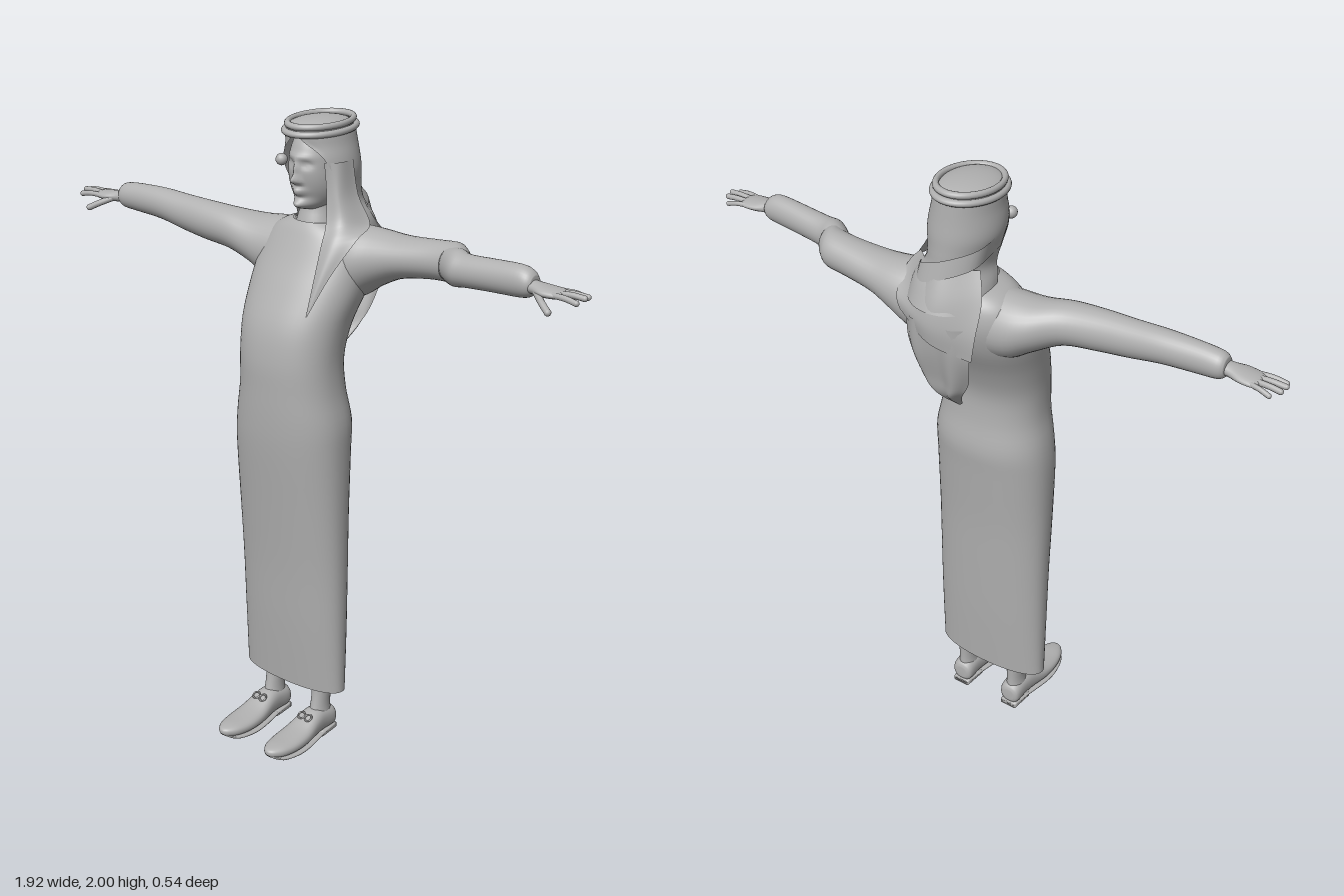
import * as THREE from 'three';

const cloth = new THREE.MeshStandardMaterial({ color: 0xb0b0b0, side: THREE.DoubleSide });
cloth.name = 'plain grey';

function add(group, name, geometry) {
  const mesh = new THREE.Mesh(geometry, cloth);
  mesh.name = name;
  group.add(mesh);
  return mesh;
}

// Smooth interpolation through rows of numbers
function refine(rows, steps) {
  const out = [], last = rows.length - 1;
  for (let i = 0; i < last; i++) {
    const [p, q, r, s] = [rows[Math.max(i - 1, 0)], rows[i], rows[i + 1], rows[Math.min(i + 2, last)]];
    for (let k = 0; k < steps; k++) {
      const t = k / steps;
      out.push(q.map((v, c) => v + 0.5 * t * (r[c] - p[c] + t * (2 * p[c] - 5 * v + 4 * r[c] - s[c]
        + t * (3 * (v - r[c]) + s[c] - p[c])))));
    }
  }
  out.push(rows[last]);
  return out;
}

function buildGeometry(positions, index) {
  const g = new THREE.BufferGeometry();
  g.setAttribute('position', new THREE.Float32BufferAttribute(positions, 3));
  g.setIndex(index);
  g.computeVertexNormals();
  return g;
}

// Loft of rounded sections [t, aMin, aMax, bMin, bMax] along one axis:
// 'y' uses a = x, b = z; 'x' uses a = z, b = y; 'z' uses a = x, b = y
function loft(axis, sections, { sides = 32, steps = 4, power = 1, caps = true } = {}) {
  const rings = refine(sections, steps), pos = [], idx = [];
  const place = { x: (t, a, b) => [t, b, a], y: (t, a, b) => [a, t, b], z: (t, a, b) => [a, b, t] }[axis];
  const flip = (axis !== 'z') !== (rings[rings.length - 1][0] < rings[0][0]);
  const tri = (a, b, c) => (flip ? idx.push(a, c, b) : idx.push(a, b, c));
  const soft = v => Math.sign(v) * Math.abs(v) ** power;
  rings.forEach(([t, a0, a1, b0, b1], i) => {
    for (let j = 0; j < sides; j++) {
      const w = j / sides * Math.PI * 2;
      pos.push(...place(t, (a0 + a1) / 2 + (a1 - a0) / 2 * soft(Math.cos(w)),
        (b0 + b1) / 2 + (b1 - b0) / 2 * soft(Math.sin(w))));
      if (!i) continue;
      const k = (j + 1) % sides, lo = (i - 1) * sides, hi = i * sides;
      tri(lo + j, lo + k, hi + k);
      tri(lo + j, hi + k, hi + j);
    }
  });
  if (caps) [0, rings.length - 1].forEach(i => {
    const [t, a0, a1, b0, b1] = rings[i], c = pos.length / 3;
    pos.push(...place(t, (a0 + a1) / 2, (b0 + b1) / 2));
    for (let j = 0; j < sides; j++) {
      const p = i * sides + j, q = i * sides + (j + 1) % sides;
      i ? tri(c, p, q) : tri(c, q, p);
    }
  });
  return buildGeometry(pos, idx);
}

// Draped sheet through rows of points
function sheet(rows, across = 24, steps = 5) {
  const flat = rows.map(row => new THREE.CatmullRomCurve3(row.map(p => new THREE.Vector3(...p)))
    .getPoints(across).flatMap(p => p.toArray()));
  const grid = refine(flat, steps), idx = [], n = across + 1;
  for (let i = 0; i < grid.length - 1; i++) for (let j = 0; j < across; j++) {
    const a = i * n + j;
    idx.push(a, a + n, a + 1, a + 1, a + n, a + n + 1);
  }
  return buildGeometry(grid.flat(), idx);
}

// Head: an ellipsoid with soft bumps for the features
function headGeometry() {
  const g = new THREE.SphereGeometry(1, 80, 64), p = g.attributes.position;
  // dx, dy, height, spread x, spread y
  const bumps = [[0, -0.03, 0.03, 0.011, 0.013], [0, 0, 0.013, 0.008, 0.024], [0, -0.066, 0.018, 0.022, 0.012],
    [0, -0.059, 0.005, 0.018, 0.004], [0, -0.073, 0.006, 0.015, 0.004], [0, -0.108, 0.044, 0.032, 0.02],
    [0, 0.036, 0.006, 0.045, 0.009]];
  for (const s of [-1, 1]) bumps.push([s * 0.03, 0.014, -0.011, 0.015, 0.01], [s * 0.03, 0.012, 0.006, 0.009, 0.005],
    [s * 0.013, -0.035, 0.009, 0.006, 0.006]);
  for (let i = 0; i < p.count; i++) {
    const y = p.getY(i) * 0.135, front = THREE.MathUtils.smoothstep(p.getZ(i), 0, 0.5);
    const x = p.getX(i) * 0.078 * (1 + Math.max(0, -y) * 1.2);
    let z = p.getZ(i) * 0.1;
    for (const [dx, dy, h, sx, sy] of bumps)
      z += front * h * Math.exp(-(((x - dx) / sx) ** 2) - ((y - dy) / sy) ** 2);
    p.setXYZ(i, x, y, z);
  }
  g.computeVertexNormals();
  return g;
}

function hand(side) {
  const g = new THREE.Group();
  g.name = side > 0 ? 'leftHand' : 'rightHand';
  add(g, 'palm', loft('x', [[0.74, -0.065, -0.02, 1.625, 1.665], [0.79, -0.066, -0.014, 1.622, 1.66],
    [0.83, -0.078, 0, 1.622, 1.654], [0.87, -0.08, -0.004, 1.624, 1.65], [0.885, -0.07, -0.014, 1.63, 1.645]]
    .map(([t, ...r]) => [t * side, ...r]), { sides: 20 }));
  // Fingers then thumb: knuckle, middle, tip, thickness
  [[[0.86, 1.638, -0.07], [0.895, 1.637, -0.077], [0.925, 1.63, -0.082], 0.0075],
    [[0.865, 1.639, -0.053], [0.91, 1.641, -0.056], [0.946, 1.638, -0.058], 0.0085],
    [[0.865, 1.639, -0.033], [0.91, 1.643, -0.034], [0.95, 1.641, -0.034], 0.0085],
    [[0.86, 1.638, -0.014], [0.905, 1.638, -0.01], [0.94, 1.632, -0.008], 0.0085],
    [[0.81, 1.635, -0.018], [0.845, 1.618, 0.008], [0.875, 1.602, 0.025], 0.01]].forEach((f, k) => {
    const pts = f.slice(0, 3).map(([x, y, z]) => new THREE.Vector3(x * side, y, z));
    const name = k < 4 ? 'finger' : 'thumb';
    add(g, name, new THREE.TubeGeometry(new THREE.CatmullRomCurve3(pts), 10, f[3], 10));
    add(g, name + 'Tip', new THREE.SphereGeometry(f[3], 10, 8)).position.copy(pts[2]);
  });
  return g;
}

function foot(side) {
  const g = new THREE.Group();
  g.name = side > 0 ? 'leftFoot' : 'rightFoot';
  g.position.x = side > 0 ? 0.095 : -0.1;
  const k = 0.05;
  add(g, 'shoe', loft('z', [[-0.042, -0.02, 0.02, 0.03, 0.07], [-0.03, -0.036, 0.036, 0.014, 0.09],
    [0.02, -0.038, 0.038, 0.014, 0.1], [0.06, -0.042, 0.042, 0.013, 0.096], [0.12, -k, k, 0.011, 0.07],
    [0.18, -k, k, 0.011, 0.06], [0.23, -0.04, 0.04, 0.016, 0.057], [0.26, -0.022, 0.022, 0.025, 0.052],
    [0.27, -0.006, 0.006, 0.034, 0.045]], { power: 0.85 }));
  add(g, 'sole', loft('z', [[-0.042, -0.03, 0.03, 0.008, 0.022], [0.03, -0.038, 0.038, 0.008, 0.02],
    [0.12, -0.053, 0.053, 0.004, 0.018], [0.18, -0.053, 0.053, 0.004, 0.018], [0.235, -0.04, 0.04, 0.01, 0.024],
    [0.262, -0.015, 0.015, 0.024, 0.034]], { power: 0.7 }));
  add(g, 'heel', loft('z', [[-0.042, -0.03, 0.03, 0, 0.02], [0.035, -0.036, 0.036, 0, 0.02]], { power: 0.4 }));
  add(g, 'ankle', loft('y', [[0.06, -0.034, 0.034, -0.035, 0.06], [0.11, -0.027, 0.027, -0.032, 0.045],
    [0.18, -0.03, 0.03, -0.035, 0.035], [0.3, -0.036, 0.036, -0.04, 0.04]], { sides: 24 }));
  // Lace bow
  for (const s of [-1, 1]) {
    const bow = add(g, 'laceLoop', new THREE.TorusGeometry(0.012, 0.003, 6, 14));
    bow.position.set(s * 0.014, 0.089, 0.085);
    bow.rotation.x = -1;
  }
  return g;
}

export function createModel() {
  const model = new THREE.Group();
  model.name = 'robedFigure';

  add(model, 'robe', loft('y', [[0.18, -0.205, 0.185, -0.06, 0.07], [0.4, -0.205, 0.187, -0.075, 0.09],
    [0.6, -0.205, 0.187, -0.085, 0.105], [0.8, -0.206, 0.187, -0.095, 0.125], [1, -0.205, 0.187, -0.112, 0.147],
    [1.1, -0.196, 0.184, -0.12, 0.154], [1.2, -0.177, 0.166, -0.106, 0.156], [1.3, -0.175, 0.158, -0.106, 0.155],
    [1.4, -0.183, 0.165, -0.14, 0.137], [1.5, -0.192, 0.185, -0.19, 0.092], [1.58, -0.188, 0.19, -0.212, 0.05],
    [1.64, -0.165, 0.175, -0.208, 0.02], [1.675, -0.125, 0.135, -0.19, 0.002], [1.695, -0.07, 0.08, -0.165, -0.012]],
  { sides: 56, power: 0.9, caps: false }));

  // Sleeves; the left one is pushed into a fold at the elbow
  add(model, 'rightSleeve', loft('x', [[-0.08, -0.19, 0.01, 1.46, 1.68], [-0.16, -0.185, 0.012, 1.48, 1.675],
    [-0.22, -0.165, 0.013, 1.515, 1.672], [-0.3, -0.12, 0.013, 1.55, 1.68], [-0.4, -0.102, 0.009, 1.563, 1.686],
    [-0.5, -0.096, 0.002, 1.577, 1.69], [-0.6, -0.093, -0.003, 1.595, 1.695], [-0.7, -0.086, -0.008, 1.602, 1.694],
    [-0.765, -0.082, -0.01, 1.607, 1.688], [-0.785, -0.07, -0.02, 1.618, 1.675]]));
  add(model, 'leftUpperSleeve', loft('x', [[0.08, -0.2, 0, 1.45, 1.69], [0.16, -0.21, -0.01, 1.475, 1.69],
    [0.22, -0.208, -0.03, 1.515, 1.685], [0.3, -0.195, -0.048, 1.553, 1.68], [0.4, -0.185, -0.062, 1.57, 1.686],
    [0.47, -0.178, -0.06, 1.575, 1.692], [0.5, -0.16, -0.045, 1.58, 1.69], [0.52, -0.14, -0.04, 1.595, 1.68]]));
  add(model, 'leftLowerSleeve', loft('x', [[0.46, -0.15, -0.06, 1.585, 1.68], [0.515, -0.13, -0.02, 1.582, 1.69],
    [0.56, -0.105, -0.016, 1.59, 1.685], [0.65, -0.093, -0.012, 1.597, 1.69], [0.74, -0.084, -0.008, 1.602, 1.694],
    [0.775, -0.08, -0.01, 1.608, 1.685], [0.79, -0.07, -0.02, 1.62, 1.67]]));

  for (const side of [-1, 1]) model.add(hand(side), foot(side));

  add(model, 'neck', loft('y', [[1.62, -0.085, 0.095, -0.18, 0], [1.69, -0.06, 0.07, -0.155, -0.015],
    [1.74, -0.05, 0.06, -0.145, -0.03], [1.8, -0.05, 0.06, -0.14, -0.03]]));
  add(model, 'head', headGeometry()).position.set(0.006, 1.855, -0.08);

  // Head cloth: [y, centre x, centre z, radius x, radius z, face opening half angle]
  const hood = [[1.975, 0.005, -0.09, 0.09, 0.115, 0.02], [1.945, 0.007, -0.09, 0.095, 0.117, 0.2],
    [1.9, 0.01, -0.09, 0.103, 0.12, 0.75], [1.85, 0.013, -0.092, 0.108, 0.122, 1.0], [1.8, 0.018, -0.095, 0.1, 0.12, 1.2],
    [1.75, 0.026, -0.1, 0.098, 0.118, 1.3], [1.7, 0.035, -0.11, 0.12, 0.132, 1.4], [1.64, 0.035, -0.13, 0.13, 0.138, 1.6]];
  add(model, 'headCloth', sheet(hood.map(([y, cx, cz, rx, rz, open]) => Array.from({ length: 17 }, (_, i) => {
    const a = open + i / 16 * 2 * (Math.PI - open);
    return [cx + rx * Math.sin(a), y, cz + rz * Math.cos(a)];
  })), 56));
  const crown = add(model, 'crown', new THREE.SphereGeometry(1, 40, 12, 0, Math.PI * 2, 0, Math.PI / 2));
  crown.scale.set(0.09, 0.03, 0.114);
  crown.position.set(0.005, 1.967, -0.09);

  // Twin head cords
  [[1.963, 0.094, 0.118], [1.983, 0.086, 0.11]].forEach(([y, rx, rz]) => {
    const cord = add(model, 'headCord', new THREE.TorusGeometry(1, 0.1, 12, 56).rotateX(Math.PI / 2));
    cord.scale.set(rx, 0.1, rz);
    cord.position.set(0.005, y, -0.09);
    cord.rotation.x = 0.05;
  });
  add(model, 'clothKnot', new THREE.SphereGeometry(0.018, 16, 12)).position.set(-0.072, 1.87, -0.005);

  // Diagonal wrap across the back of the neck
  add(model, 'neckWrap', sheet([0, 1].map(k => [[-0.095, 1.86, -0.06], [-0.08, 1.83, -0.17], [0.01, 1.79, -0.222],
    [0.1, 1.75, -0.2], [0.145, 1.71, -0.1]].map(([x, y, z]) => [x + k * 0.012, y - k * 0.06, z - k * 0.012]))));

  // Cloth falling from the left cheek to a point on the chest
  add(model, 'frontDrape', sheet([[[0.085, 1.88, -0.01], [0.115, 1.88, -0.04], [0.12, 1.88, -0.1]],
    [[0.09, 1.79, -0.015], [0.125, 1.79, -0.03], [0.14, 1.78, -0.1]],
    [[0.1, 1.7, 0], [0.145, 1.715, -0.02], [0.185, 1.7, -0.1]],
    [[0.108, 1.65, 0.03], [0.15, 1.66, 0.025], [0.2, 1.67, -0.02]],
    [[0.112, 1.55, 0.07], [0.135, 1.56, 0.07], [0.16, 1.57, 0.05]],
    [[0.113, 1.45, 0.106], [0.115, 1.45, 0.106], [0.117, 1.452, 0.105]]]));

  // Two layers hanging down the back
  add(model, 'backDrapeUpper', sheet([[[-0.075, 1.76, -0.16], [0.03, 1.76, -0.222], [0.15, 1.74, -0.13]],
    [[-0.1, 1.68, -0.19], [0.03, 1.67, -0.258], [0.19, 1.69, -0.14]],
    [[-0.1, 1.58, -0.225], [0.03, 1.6, -0.272], [0.18, 1.63, -0.21]],
    [[-0.09, 1.5, -0.23], [0.03, 1.54, -0.266], [0.16, 1.59, -0.225]]]));
  add(model, 'backDrapeLower', sheet([
    [[-0.09, 1.6, -0.22], [-0.03, 1.6, -0.258], [0.03, 1.6, -0.25], [0.09, 1.6, -0.26], [0.14, 1.6, -0.22]],
    [[-0.08, 1.5, -0.225], [-0.03, 1.5, -0.25], [0.03, 1.49, -0.235], [0.09, 1.49, -0.25], [0.14, 1.5, -0.215]],
    [[-0.06, 1.4, -0.2], [-0.02, 1.39, -0.228], [0.03, 1.39, -0.21], [0.08, 1.4, -0.225], [0.12, 1.42, -0.2]],
    [[-0.03, 1.34, -0.19], [0, 1.33, -0.205], [0.03, 1.32, -0.19], [0.06, 1.33, -0.2], [0.08, 1.35, -0.19]],
    [[0.015, 1.26, -0.125], [0.02, 1.258, -0.13], [0.025, 1.255, -0.13], [0.03, 1.258, -0.13], [0.035, 1.26, -0.125]]]));

  return model;
}
